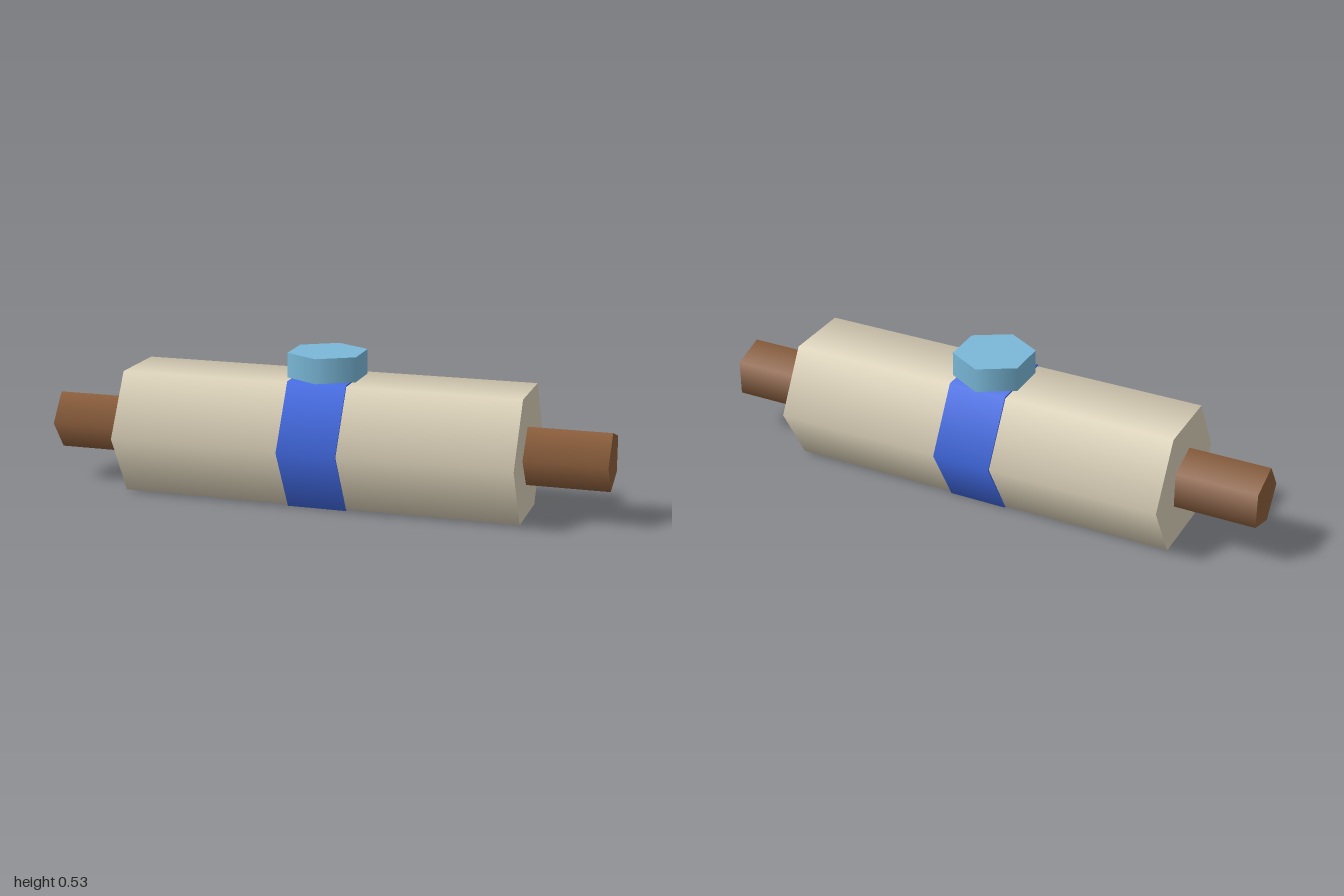
import * as THREE from 'three';

const AXIS_Y = 0.222;

const paint = (name, color) => {
  const material = new THREE.MeshStandardMaterial({ color });
  material.name = name;
  return material;
};

export function createModel() {
  const cream = paint('cream', 0xdad0b8);
  const brown = paint('brown', 0x8b5e3c);
  const blue = paint('royal blue', 0x4169e1);
  const sky = paint('sky blue', 0x7ab8d8);

  const model = new THREE.Group();
  model.name = 'rollingPin';

  // Smooth-shaded prism lying along x, with one corner facing +z
  const addBar = (name, material, radius, length, sides, x = 0) => {
    const geometry = new THREE.CylinderGeometry(radius, radius, length, sides);
    geometry.rotateZ(-Math.PI / 2);
    const mesh = new THREE.Mesh(geometry, material);
    mesh.name = name;
    mesh.position.set(x, AXIS_Y, 0);
    model.add(mesh);
  };

  // Roller and the band around its middle
  addBar('roller', cream, 0.25, 1.426, 6);
  addBar('band', blue, 0.2563, 0.21, 6);

  // Five-sided handles, one at each end
  for (const side of [-1, 1]) {
    addBar(side > 0 ? 'leftHandle' : 'rightHandle', brown, 0.107, 0.33, 5, side * 0.835);
  }

  // Six-sided knob standing on the band
  const knob = new THREE.Mesh(new THREE.CylinderGeometry(0.142, 0.142, 0.087, 6), sky);
  knob.name = 'knob';
  knob.position.y = 0.4875;
  model.add(knob);

  return model;
}
